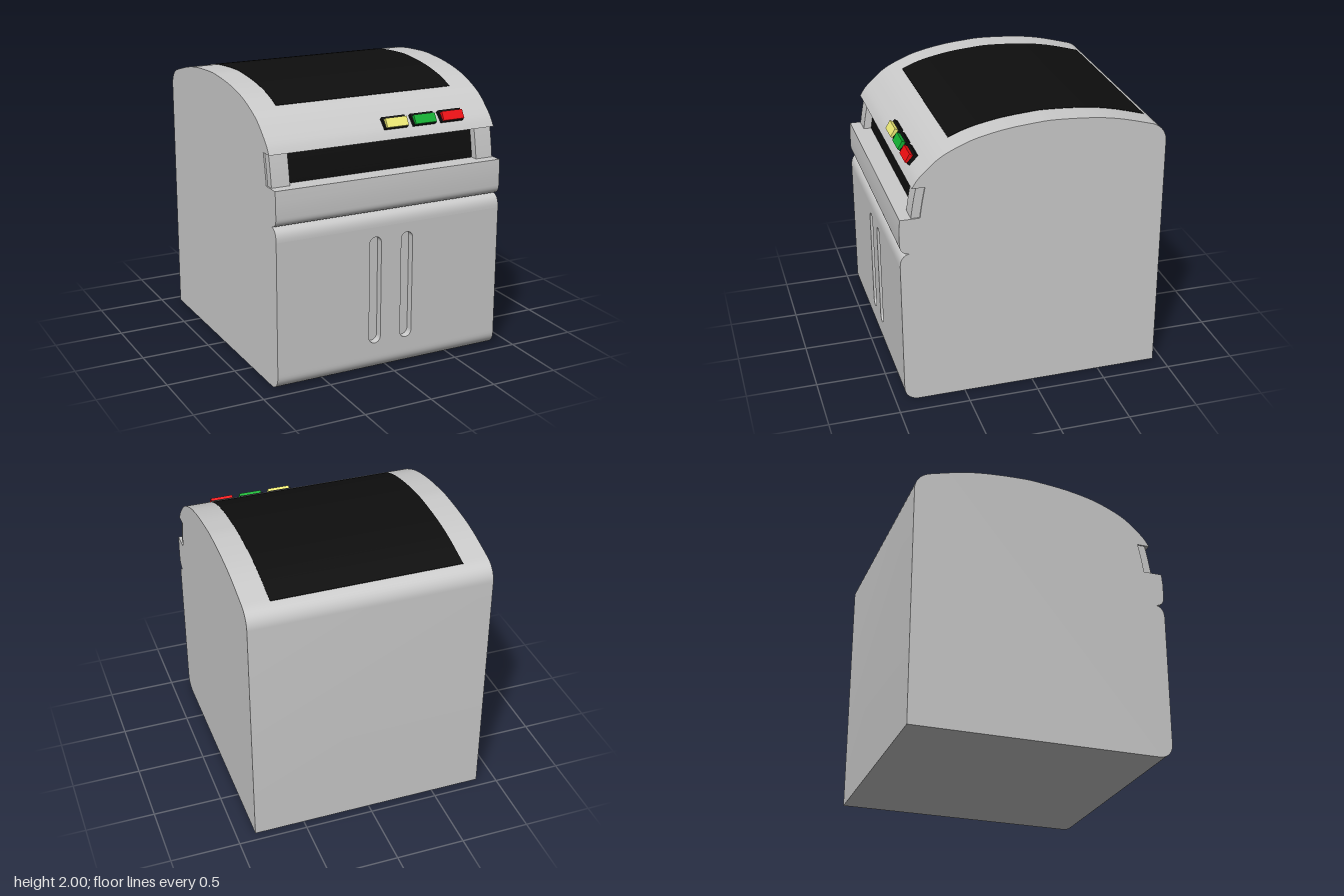
import * as THREE from 'three';
import { toCreasedNormals } from 'three/addons/utils/BufferGeometryUtils.js';

const WIDTH = 1.73;
const FRONT = 0.935;
const BACK = -0.935;

const paint = (color) => new THREE.MeshStandardMaterial({ color });
const grey = paint(0xcccccc);
const black = paint(0x0e0e0e);

function add(parent, name, geometry, material) {
  const mesh = new THREE.Mesh(geometry, material);
  mesh.name = name;
  parent.add(mesh);
  return mesh;
}

// Extrudes a side profile drawn in (z, y) across the width, centred on x = 0
function acrossWidth(shape, width) {
  const g = new THREE.ExtrudeGeometry(shape, { depth: width, bevelEnabled: false, curveSegments: 10 });
  g.translate(0, 0, -width / 2);
  g.rotateY(-Math.PI / 2);
  return toCreasedNormals(g, 0.5);
}

// Domed lid line from the front lip to the rear shoulder, as (z, y)
const lidLine = new THREE.SplineCurve([
  [0.84, 1.63], [0.8, 1.69], [0.735, 1.755], [0.65, 1.825], [0.545, 1.88], [0.4, 1.934], [0.2, 1.975],
  [0, 1.995], [-0.14, 2], [-0.4, 1.984], [-0.6, 1.952], [-0.83, 1.89],
].map(([z, y]) => new THREE.Vector2(z, y))).getPoints(66);

function bodyShape() {
  const s = new THREE.Shape();
  s.moveTo(BACK, 0);
  s.lineTo(0.835, 0);
  s.bezierCurveTo(0.89, 0, FRONT, 0.04, FRONT, 0.1);
  // pocket that the slotted front panel fills
  s.lineTo(FRONT, 0.12);
  s.lineTo(0.88, 0.12);
  s.lineTo(0.88, 1.06);
  s.lineTo(FRONT, 1.06);
  // groove between door and upper band
  s.bezierCurveTo(FRONT, 1.12, 0.91, 1.15, 0.87, 1.155);
  s.bezierCurveTo(0.91, 1.16, FRONT, 1.18, FRONT, 1.225);
  s.lineTo(FRONT, 1.33);
  s.lineTo(0.928, 1.412);
  // display recess under the lip
  s.lineTo(0.79, 1.412);
  s.quadraticCurveTo(0.775, 1.52, 0.75, 1.63);
  lidLine.forEach((p) => s.lineTo(p.x, p.y));
  s.bezierCurveTo(-0.89, 1.872, BACK, 1.82, BACK, 1.755);
  s.closePath();
  return s;
}

// Front panel with two round-ended finger slots cut through it
function frontPanelGeometry() {
  const w = WIDTH / 2;
  const s = new THREE.Shape();
  s.moveTo(-w, 0.12);
  s.lineTo(w, 0.12);
  s.lineTo(w, 1.06);
  s.lineTo(-w, 1.06);
  s.closePath();
  const r = 0.045;
  for (const x of [-0.123, 0.123]) {
    const hole = new THREE.Path();
    hole.absarc(x, 0.21 + r, r, Math.PI, Math.PI * 2, false);
    hole.absarc(x, 0.99 - r, r, 0, Math.PI, false);
    hole.closePath();
    s.holes.push(hole);
  }
  const g = new THREE.ExtrudeGeometry(s, { depth: FRONT - 0.88, bevelEnabled: false, curveSegments: 12 });
  g.translate(0, 0, 0.88);
  return toCreasedNormals(g, 0.5);
}

// Curved slab standing in the recess, between two depths in front of its back wall
function recessSlab(depth) {
  const s = new THREE.Shape();
  s.moveTo(0.785, 1.412);
  s.lineTo(0.79 + depth, 1.412);
  s.quadraticCurveTo(0.775 + depth, 1.52, 0.75 + depth, 1.63);
  s.lineTo(0.745, 1.63);
  s.quadraticCurveTo(0.77, 1.52, 0.785, 1.412);
  return s;
}

// Thin dark skin that follows the lid
function lidPanelShape() {
  const pts = lidLine.filter((p) => p.x < 0.55);
  pts[pts.length - 1] = new THREE.Vector2(-0.84, 1.887);
  const shift = (d) => pts.map((p) => new THREE.Vector2(p.x, p.y + d));
  return new THREE.Shape([...shift(0.003), ...shift(-0.01).reverse()]);
}

export function createModel() {
  const model = new THREE.Group();
  model.name = 'machine';

  add(model, 'body', acrossWidth(bodyShape(), WIDTH), grey);
  add(model, 'frontPanel', frontPanelGeometry(), grey);
  add(model, 'lidPanel', acrossWidth(lidPanelShape(), 1.355), black);
  add(model, 'displayPanel', acrossWidth(recessSlab(0.004), 1.45), black);

  // Brackets at both ends of the display
  for (const [name, side] of [['leftBracket', 1], ['rightBracket', -1]]) {
    const bracket = add(model, name, acrossWidth(recessSlab(0.06), 0.133), grey);
    bracket.position.x = side * 0.788;
  }

  // Buttons, each a coloured cap on a black base
  [['yellowButton', 0xf2ee78], ['greenButton', 0x12b334], ['redButton', 0xf20d12]].forEach(([name, color], i) => {
    const button = new THREE.Group();
    button.name = name;
    button.position.x = 0.098 + i * 0.222;
    const base = add(button, 'buttonBase', new THREE.BoxGeometry(0.178, 0.088, 0.03), black);
    base.position.set(0, 1.729, 0.776);
    base.rotation.x = -0.72;
    const cap = add(button, 'buttonCap', new THREE.BoxGeometry(0.165, 0.066, 0.032), paint(color));
    cap.position.set(0.003, 1.735, 0.798);
    cap.rotation.x = -0.53;
    model.add(button);
  });

  return model;
}
